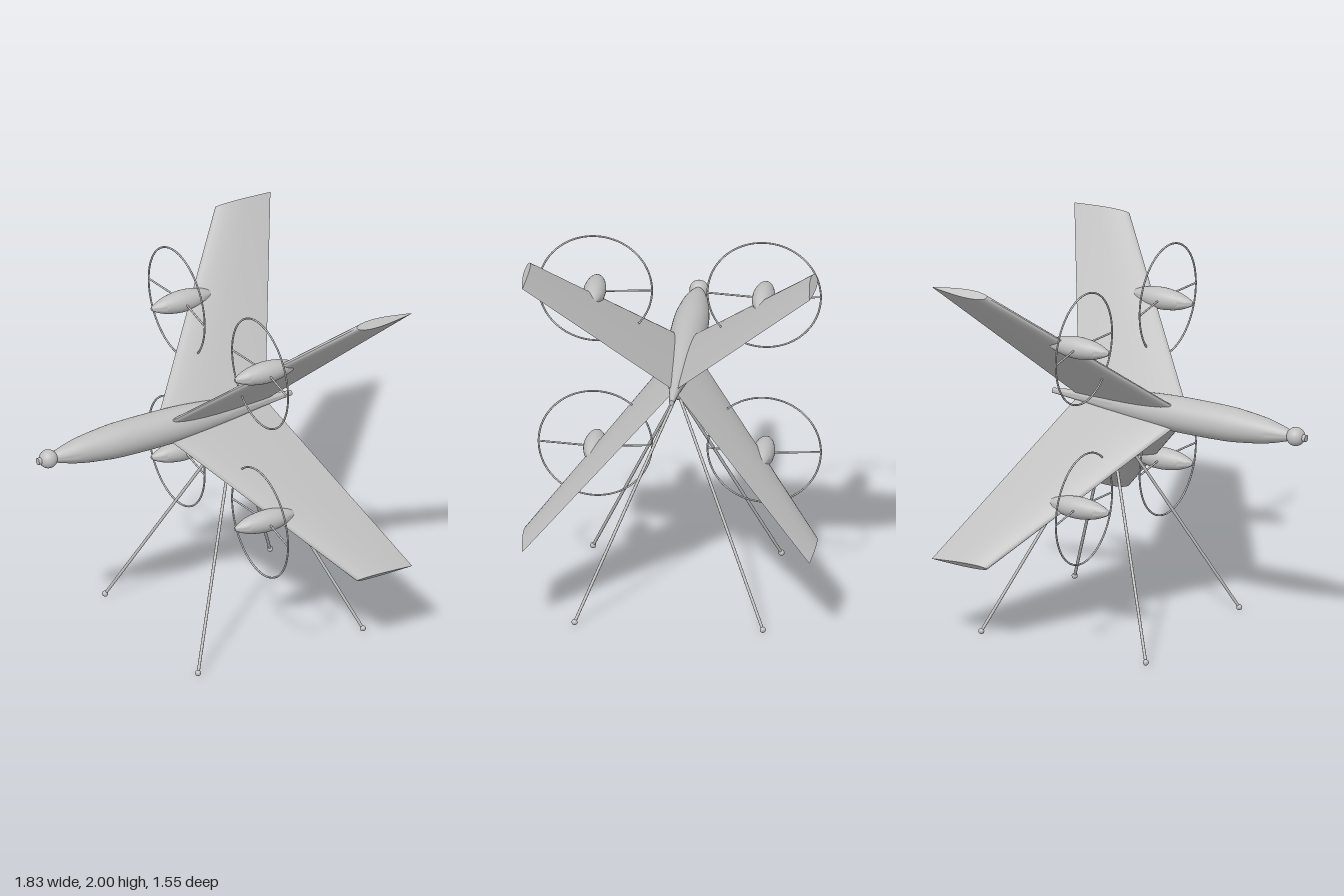
import * as THREE from 'three';
import { toCreasedNormals } from 'three/addons/utils/BufferGeometryUtils.js';

const grey = new THREE.MeshStandardMaterial({ color: 0xc0c0c0 });
grey.name = 'light grey';

const AXIS_Y = 1.23;
const NACELLE = 0.445; // y and z offset of each nacelle from the body axis

function add(parent, name, geometry, x = 0, y = 0, z = 0) {
  const mesh = new THREE.Mesh(geometry, grey);
  mesh.name = name;
  mesh.position.set(x, y, z);
  parent.add(mesh);
  return mesh;
}

// Smooth body of revolution along x from [x, radius] points, closed at both ends
function spindle(points, segments) {
  const curve = new THREE.SplineCurve(points.map(([x, r]) => new THREE.Vector2(r, x)));
  const profile = curve.getPoints(40);
  profile.unshift(new THREE.Vector2(0, points[0][0]));
  profile.push(new THREE.Vector2(0, points[points.length - 1][0]));
  return toCreasedNormals(new THREE.LatheGeometry(profile, segments).rotateZ(-Math.PI / 2), 0.7);
}

// Straight round rod between two points
function rod(parent, name, a, b, radius) {
  const dir = b.clone().sub(a);
  const mesh = add(parent, name, new THREE.CylinderGeometry(radius, radius, dir.length(), 12));
  mesh.position.copy(a).addScaledVector(dir, 0.5);
  mesh.quaternion.setFromUnitVectors(new THREE.Vector3(0, 1, 0), dir.normalize());
}

// Swept, tapered wing: an aerofoil extruded along z, then sheared to its plan
function wingGeometry() {
  const half = [[0.01, 0.007], [0.04, 0.013], [0.1, 0.019], [0.2, 0.0235], [0.32, 0.025],
    [0.45, 0.0235], [0.6, 0.019], [0.75, 0.0125], [0.9, 0.006]];
  const outline = [[0, 0], ...half.map(([u, t]) => [u, -t]), [1, 0], ...[...half].reverse()];
  const shape = new THREE.Shape(outline.map(([u, t]) => new THREE.Vector2(u, t)));
  const geometry = new THREE.ExtrudeGeometry(shape, { depth: 1, steps: 12, bevelEnabled: false });
  const p = geometry.attributes.position;
  for (let i = 0; i < p.count; i++) {
    const s = p.getZ(i);
    const lead = THREE.MathUtils.lerp(-0.21, 0.58, s);
    const trail = THREE.MathUtils.lerp(0.455, 0.912, s);
    p.setX(i, THREE.MathUtils.lerp(lead, trail, p.getX(i)));
    p.setZ(i, s * 1.07);
  }
  return toCreasedNormals(geometry, 0.75);
}

export function createModel() {
  const model = new THREE.Group();
  model.name = 'aircraft';

  // Body with nose ball and tip
  add(model, 'fuselage', spindle([[-0.83, 0.022], [-0.79, 0.038], [-0.68, 0.066], [-0.55, 0.084],
    [-0.42, 0.094], [-0.15, 0.095], [0.05, 0.084], [0.25, 0.06], [0.42, 0.034],
    [0.53, 0.021], [0.61, 0.014]], 40), 0, AXIS_Y);
  add(model, 'noseBall', new THREE.SphereGeometry(0.05, 32, 20), -0.853, AXIS_Y);
  add(model, 'noseTip', new THREE.CylinderGeometry(0.019, 0.019, 0.045, 20).rotateZ(Math.PI / 2),
    -0.894, AXIS_Y);

  // Four wings in an X
  const wing = wingGeometry();
  for (let k = 0; k < 4; k++) {
    add(model, 'wing', wing, 0, AXIS_Y).rotation.x = Math.PI / 4 + k * Math.PI / 2;
  }

  // Nacelle on each leading edge, with a ring held by two struts
  const pod = spindle([[0.02, 0.009], [0.05, 0.026], [0.1, 0.045], [0.16, 0.056], [0.21, 0.059],
    [0.27, 0.054], [0.33, 0.039], [0.37, 0.023], [0.4, 0.008]], 28);
  const ring = new THREE.TorusGeometry(0.299, 0.005, 8, 72).rotateY(Math.PI / 2);
  for (const sy of [-1, 1]) {
    for (const sz of [-1, 1]) {
      const unit = new THREE.Group();
      unit.name = 'engine';
      unit.position.set(0, AXIS_Y + sy * NACELLE, sz * NACELLE);
      add(unit, 'nacelle', pod);
      add(unit, 'ring', ring, 0.172);
      for (const side of [-1, 1]) {
        rod(unit, 'ringStrut', new THREE.Vector3(0.21, 0, 0),
          new THREE.Vector3(0.172, 0, side * 0.299), 0.005);
      }
      model.add(unit);
    }
  }

  // Four splayed legs from a hub under the body
  const hub = new THREE.Vector3(0.27, 1.14, 0);
  add(model, 'legHub', new THREE.SphereGeometry(0.04, 24, 16), hub.x, hub.y, hub.z);
  for (const x of [-0.23, 0.762]) {
    for (const z of [-0.496, 0.496]) {
      const foot = new THREE.Vector3(x, 0.016, z);
      rod(model, 'leg', hub, foot, 0.008);
      add(model, 'foot', new THREE.SphereGeometry(0.016, 16, 12), foot.x, foot.y, foot.z);
    }
  }
  return model;
}
